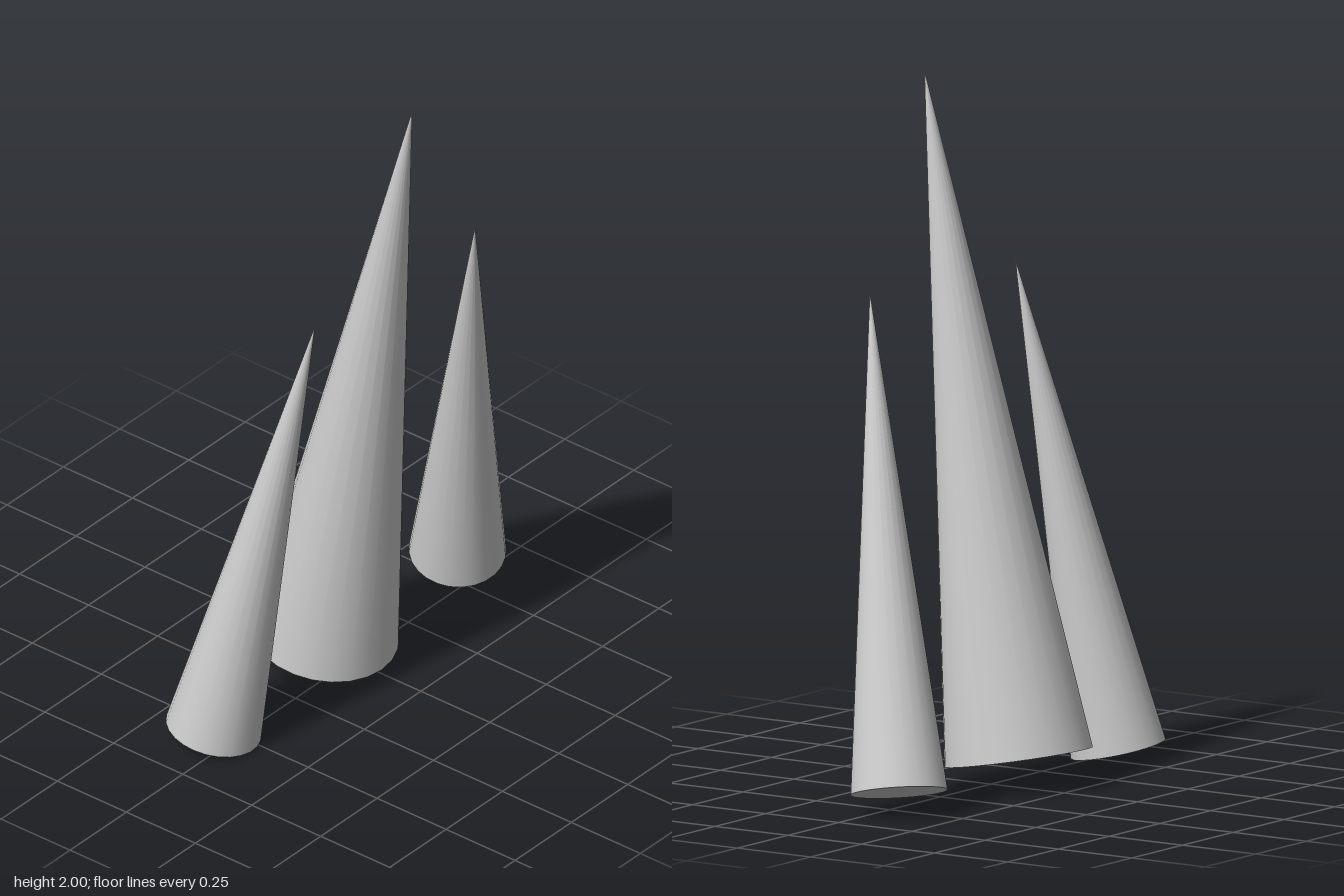
import * as THREE from 'three';

const material = new THREE.MeshStandardMaterial({ color: 0xcccccc });

// A tall closed cone running from the centre of its base to its tip
function spike(name, radius, base, tip) {
  const from = new THREE.Vector3(...base);
  const to = new THREE.Vector3(...tip);
  const axis = to.clone().sub(from);
  const mesh = new THREE.Mesh(new THREE.ConeGeometry(radius, axis.length(), 24), material);
  mesh.name = name;
  mesh.position.copy(from).add(to).multiplyScalar(0.5);
  mesh.quaternion.setFromUnitVectors(new THREE.Vector3(0, 1, 0), axis.normalize());
  return mesh;
}

export function createModel() {
  const group = new THREE.Group();
  group.name = 'spikes';
  group.add(
    // Large spike in the middle, leaning to the left
    spike('middleSpike', 0.211, [-0.071, 0.081, 0.034], [0.276, 2, 0.07]),
    // Smaller spikes in front and behind, leaning inward
    spike('frontSpike', 0.137, [-0.056, 0.029, 0.545], [0.202, 1.42, 0.41]),
    spike('backSpike', 0.137, [-0.066, 0.064, -0.549], [0.23, 1.42, -0.265])
  );
  return group;
}
